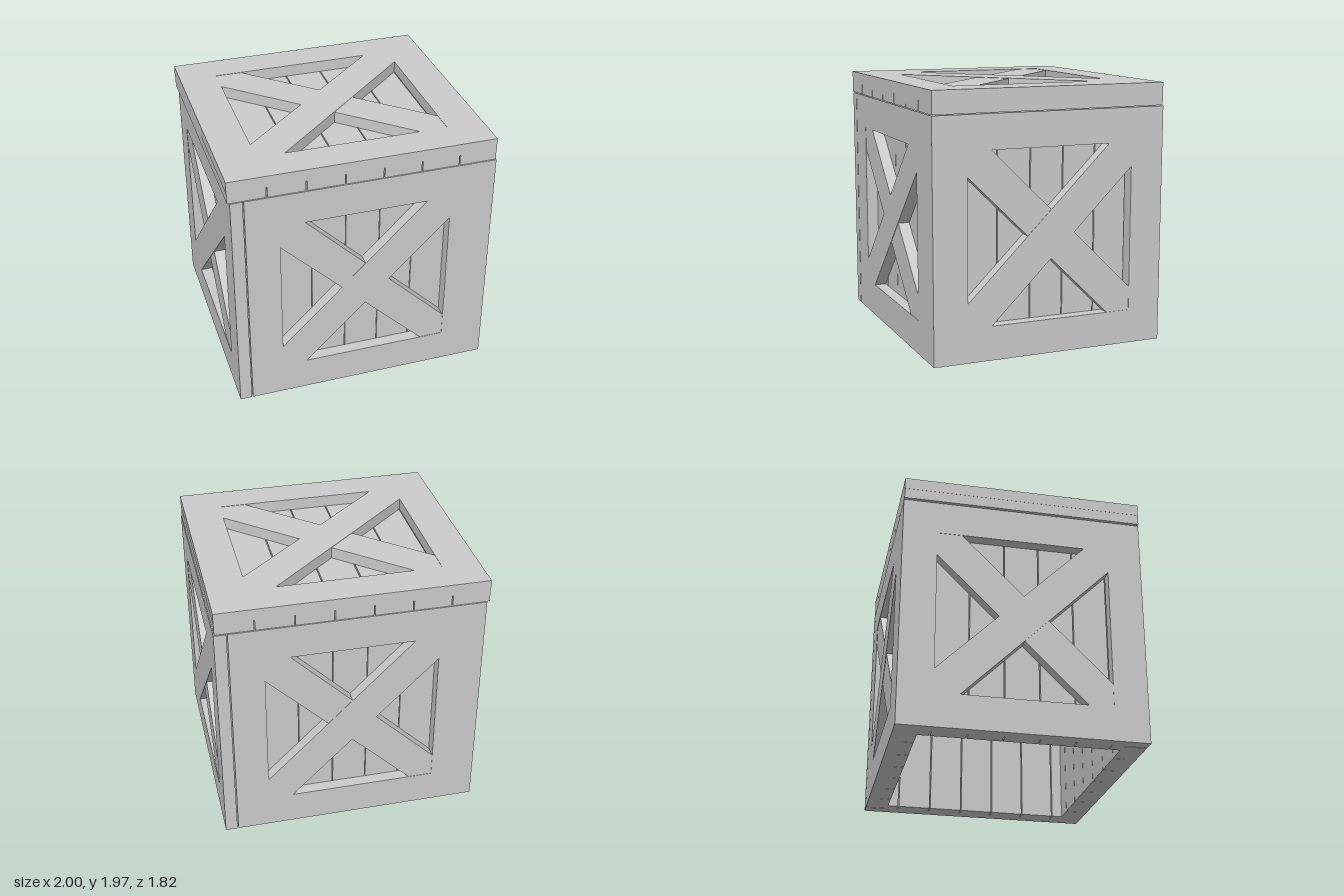
import * as THREE from 'three';

const material = new THREE.MeshStandardMaterial({ color: 0xcccccc, flatShading: true });
const FRAME = 0.09; // frame board thickness
const PLANK = 0.085; // backing plank thickness

function add(parent, name, geometry, x = 0, y = 0, z = 0) {
  const mesh = new THREE.Mesh(geometry, material);
  mesh.name = name;
  mesh.position.set(x, y, z);
  parent.add(mesh);
  return mesh;
}

// Diagonal board with pointed ends fitting the corners of an opening 2a x 2b
function braceGeometry(a, b, depth, mirror) {
  const c = a * 0.285, d = b * 0.285;
  const points = [[-a, -b], [-a + c, -b], [a, b - d], [a, b], [a - c, b], [-a, -b + d]];
  const shape = new THREE.Shape(points.map(([x, y]) => new THREE.Vector2(mirror * x, y)));
  return new THREE.ExtrudeGeometry(shape, { depth, bevelEnabled: false });
}

// Framed panel facing +z, outer face at z = 0, centred on its own origin
function createPanel(name, { w, h, a, b, plankHalf, pitch, gap, plankDepth = PLANK }) {
  const panel = new THREE.Group();
  panel.name = name;
  const rail = h / 2 - b, stile = w / 2 - a;
  for (const s of [-1, 1]) {
    add(panel, s < 0 ? 'lowerRail' : 'upperRail',
      new THREE.BoxGeometry(w, rail, FRAME), 0, s * (b + rail / 2), -FRAME / 2);
    add(panel, s < 0 ? 'stileA' : 'stileB',
      new THREE.BoxGeometry(stile, 2 * b, FRAME), s * (a + stile / 2), 0, -FRAME / 2);
  }
  // Crossed braces, the second a hair lower where they meet
  add(panel, 'braceRising', braceGeometry(a, b, FRAME, 1), 0, 0, -FRAME);
  add(panel, 'braceFalling', braceGeometry(a, b, FRAME - 0.003, -1), 0, 0, -FRAME);
  // Seven backing planks, the outer ones trimmed to fit
  for (let i = -3; i <= 3; i++) {
    const x0 = Math.max(-plankHalf, (i - 0.5) * pitch + gap / 2);
    const x1 = Math.min(plankHalf, (i + 0.5) * pitch - gap / 2);
    add(panel, 'plank', new THREE.BoxGeometry(x1 - x0, h, plankDepth),
      (x0 + x1) / 2, 0, -FRAME - plankDepth / 2);
  }
  return panel;
}

export function createModel() {
  const crate = new THREE.Group();
  crate.name = 'crate';

  // Front and back walls sit between the side walls
  const long = { w: 1.79, h: 1.795, a: 0.645, b: 0.64, plankHalf: 0.895, pitch: 0.26, gap: 0.005 };
  const front = createPanel('frontWall', long);
  front.position.set(0.013, 0.8975, 0.91);
  const back = createPanel('backWall', long);
  back.position.set(0.002, 0.8975, -0.91);
  back.rotation.y = Math.PI;

  // Side walls cover the full depth
  const short = { w: 1.82, h: 1.795, a: 0.65, b: 0.64, plankHalf: 0.735, pitch: 0.26, gap: 0.008 };
  const left = createPanel('leftWall', short);
  left.position.set(0.995, 0.8975, 0);
  left.rotation.y = Math.PI / 2;
  const right = createPanel('rightWall', short);
  right.position.set(-0.98, 0.8975, 0);
  right.rotation.y = -Math.PI / 2;

  // Lid with planks showing at its front and back edges
  const lid = createPanel('lid', {
    w: 1.99, h: 1.815, a: 0.712, b: 0.648, plankHalf: 0.995, pitch: 0.285, gap: 0.008, plankDepth: 0.08,
  });
  lid.position.set(-0.005, 1.97, 0);
  lid.rotation.x = -Math.PI / 2;

  crate.add(front, back, left, right, lid);
  return crate;
}
